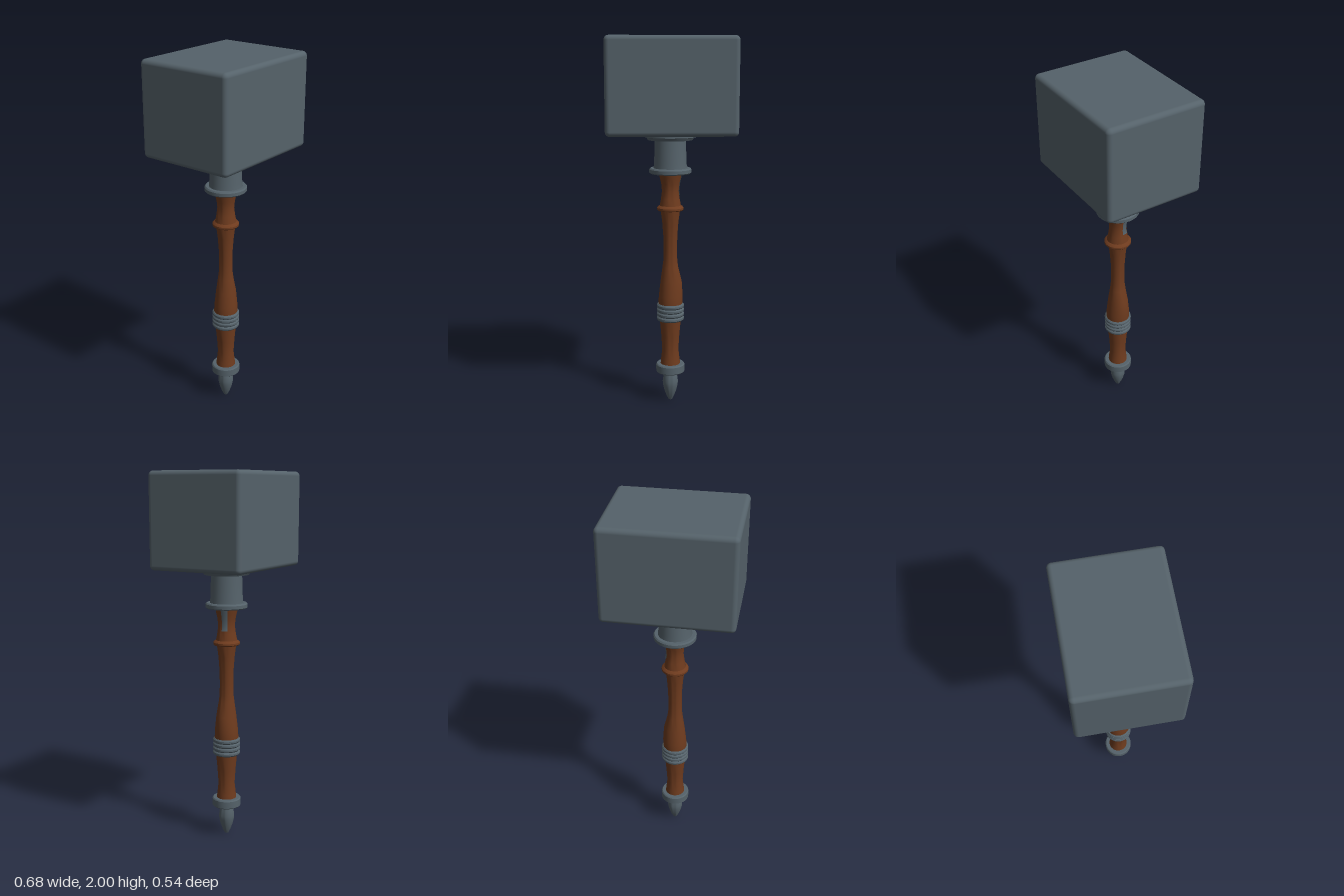
import * as THREE from 'three';
import { toCreasedNormals } from 'three/addons/utils/BufferGeometryUtils.js';
import { RoundedBoxGeometry } from 'three/addons/geometries/RoundedBoxGeometry.js';

export function createModel() {
  const group = new THREE.Group();
  const steel = new THREE.MeshStandardMaterial({ color: 0x55626a });
  steel.name = 'steel';
  const wood = new THREE.MeshStandardMaterial({ color: 0x6e3b1e });
  wood.name = 'wood';
  const inlaySteel = steel.clone();
  inlaySteel.name = 'inlaySteel';
  inlaySteel.side = THREE.DoubleSide;

  const add = (name, geometry, material) => {
    const mesh = new THREE.Mesh(geometry, material);
    mesh.name = name;
    group.add(mesh);
    return mesh;
  };
  // Profiles are [radius, height] pairs, listed from bottom to top
  const turn = (profile, ...arc) =>
    new THREE.LatheGeometry(profile.map(([r, y]) => new THREE.Vector2(r, y)), ...arc);
  const turned = (name, profile, material) =>
    add(name, toCreasedNormals(turn(profile, 32), 0.6), material);

  // Hammer head
  add('head', new RoundedBoxGeometry(0.675, 0.5, 0.535, 4, 0.024), steel).position.y = 1.75;

  // Stepped collar and socket under the head
  turned('socket', [
    [0, 1.285], [0.106, 1.285], [0.113, 1.291], [0.113, 1.308], [0.107, 1.315],
    [0.09, 1.315], [0.087, 1.34], [0.083, 1.465], [0.12, 1.465], [0.128, 1.478],
    [0.143, 1.482], [0.143, 1.505], [0, 1.505],
  ], steel);

  // Turned handle, with a fuller grip on its left side
  const grip = turn([
    [0.055, 0.21], [0.052, 0.24], [0.045, 0.3], [0.05, 0.38], [0.058, 0.47],
    [0.066, 0.56], [0.063, 0.61], [0.054, 0.69], [0.043, 0.77], [0.038, 0.81],
    [0.037, 0.87], [0.038, 0.94], [0.044, 1.02], [0.053, 1.088],
  ], 32);
  const p = grip.attributes.position;
  for (let i = 0; i < p.count; i++) {
    const swell = Math.max(0, 1 - Math.abs(p.getY(i) - 0.67) / 0.1);
    if (p.getX(i) > 0) p.setX(i, p.getX(i) * (1 + 0.2 * swell));
  }
  grip.computeVertexNormals();
  add('grip', toCreasedNormals(grip, 0.6), wood);
  turned('handleRing', [
    [0.05, 1.085], [0.068, 1.085], [0.072, 1.09], [0.072, 1.1], [0.066, 1.107], [0.058, 1.112],
  ], wood);
  const neck = [[0.058, 1.108], [0.05, 1.15], [0.045, 1.19], [0.049, 1.23], [0.057, 1.265], [0.062, 1.29]];
  turned('neck', neck, wood);

  // Narrow steel inlay on the left of the neck
  const inlay = neck.slice(1).map(([r, y]) => [r + 0.003, Math.max(y, 1.165)]);
  add('neckInlay', turn(inlay, 6, Math.PI / 2, 0.6), inlaySteel);

  // Wrapped grip band made of rounded ridges
  const band = [[0.05, 0.47]];
  const ridges = 4, step = 0.095 / ridges;
  for (let i = 0; i < ridges; i++) {
    const y = 0.47 + i * step;
    band.push([0.069, y], [0.075, y + step * 0.3], [0.075, y + step * 0.7], [0.069, y + step]);
  }
  band.push([0.05, 0.565]);
  turned('gripBand', band.filter((q, i) => i === 0 || q[1] !== band[i - 1][1] || q[0] !== band[i - 1][0]), steel);

  // Pommel ring and pointed end
  turned('pommelRing', [
    [0, 0.17], [0.074, 0.17], [0.079, 0.175], [0.079, 0.213], [0.074, 0.219], [0.05, 0.219],
  ], steel);
  turned('pommelTip', [
    [0, 0], [0.01, 0.004], [0.021, 0.025], [0.034, 0.06], [0.041, 0.09],
    [0.043, 0.112], [0.039, 0.14], [0.032, 0.175],
  ], steel);

  return group;
}
